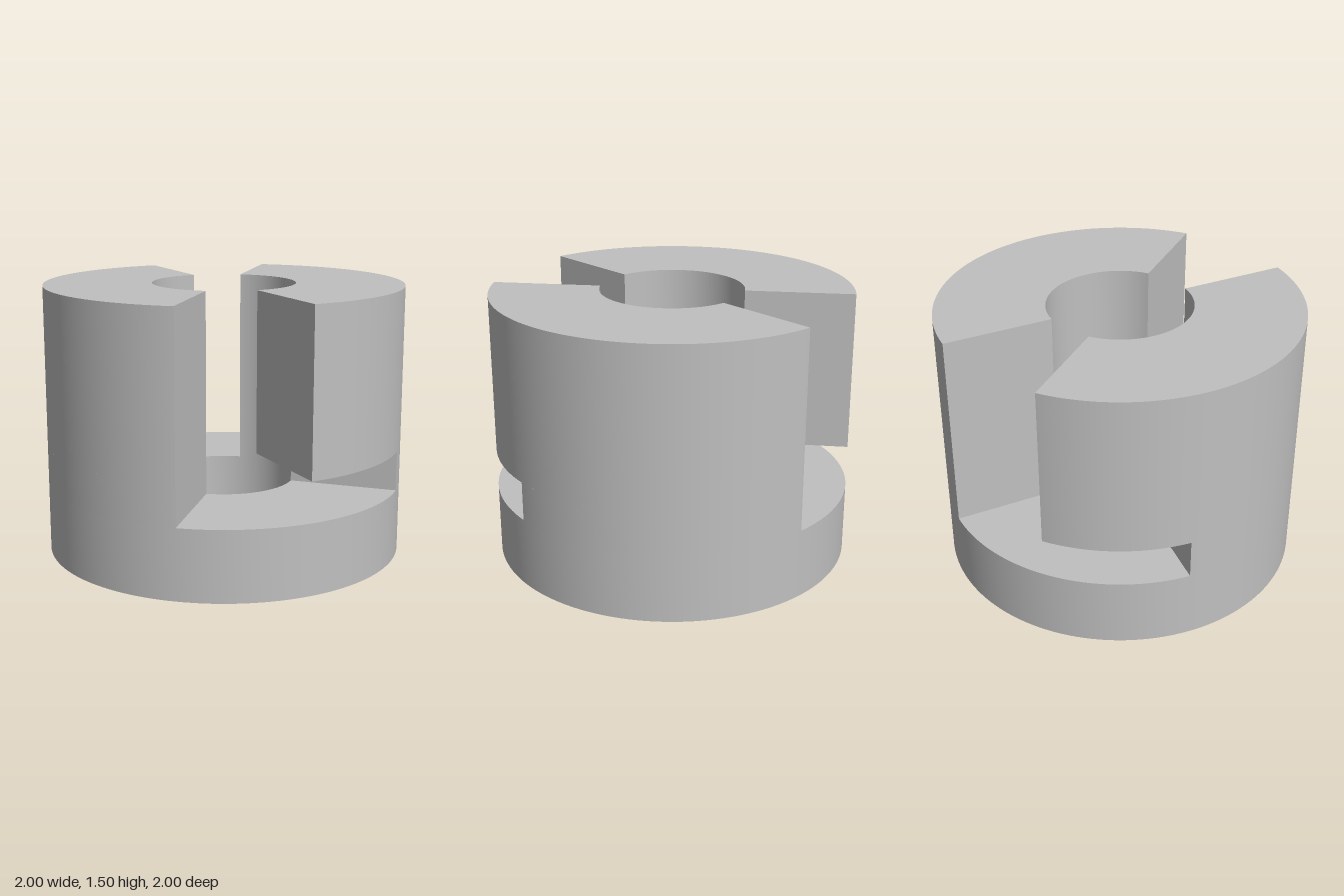
import * as THREE from 'three';
import { toCreasedNormals } from 'three/addons/utils/BufferGeometryUtils.js';

const OUTER = 1, INNER = 0.4;
const rad = THREE.MathUtils.degToRad;

// Flat ring, or a sector of it, raised from y0 to y1 with smooth curved walls.
// Angles run counter-clockwise seen from above, from +x; the front is -90.
function ringSector(y0, y1, from, to) {
  const shape = new THREE.Shape();
  if (to - from >= 360) {
    shape.absarc(0, 0, OUTER, 0, Math.PI * 2, false);
    const bore = new THREE.Path();
    bore.absarc(0, 0, INNER, 0, Math.PI * 2, true);
    shape.holes.push(bore);
  } else {
    shape.absarc(0, 0, OUTER, rad(from), rad(to), false);
    shape.absarc(0, 0, INNER, rad(to), rad(from), true);
    shape.closePath();
  }
  const geometry = new THREE.ExtrudeGeometry(shape, { depth: y1 - y0, bevelEnabled: false, curveSegments: 72 });
  geometry.rotateX(-Math.PI / 2).translate(0, y0, 0);
  return toCreasedNormals(geometry, rad(30));
}

export function createModel() {
  const group = new THREE.Group();
  const metal = new THREE.MeshStandardMaterial({ color: 0xc0c0c0 });
  metal.name = 'light grey metal';

  const add = (name, geometry, turn = 0) => {
    const mesh = new THREE.Mesh(geometry, metal);
    mesh.name = name;
    mesh.rotation.y = turn;
    group.add(mesh);
  };

  // Solid ring at the bottom
  add('baseRing', ringSector(0, 0.39, 0, 360));

  // Two jaws, each with a narrower neck that leaves the sideways locking slot
  const neck = ringSector(0.39, 0.61, -25, 70);
  const jaw = ringSector(0.61, 1.5, -70, 70);
  ['left', 'right'].forEach((side, i) => {
    add(side + 'Neck', neck, i * Math.PI);
    add(side + 'Jaw', jaw, i * Math.PI);
  });
  return group;
}
